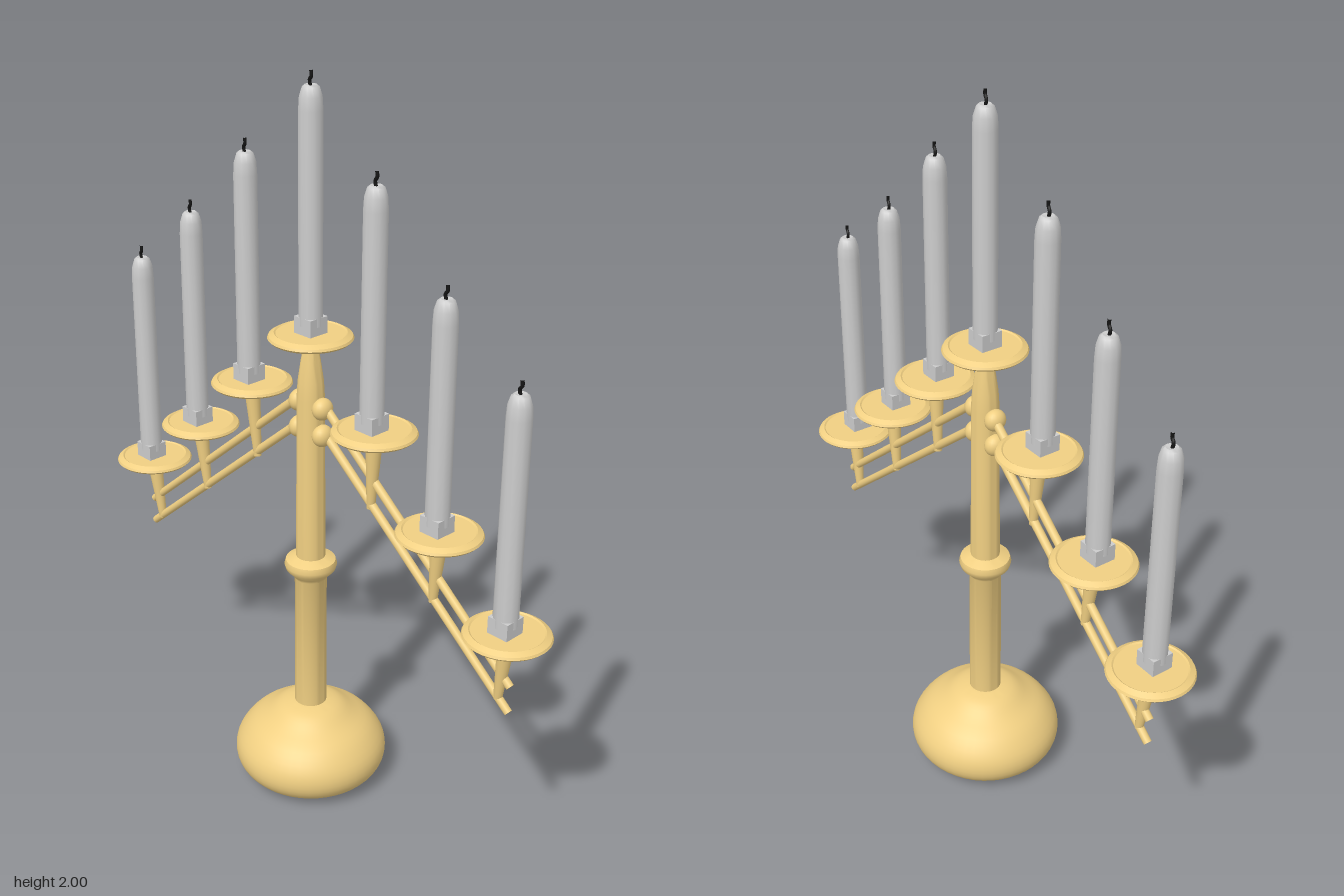
import * as THREE from 'three';
import { toCreasedNormals } from 'three/addons/utils/BufferGeometryUtils.js';

const brass = new THREE.MeshStandardMaterial({ color: 0xf0cf82 });
const wax = new THREE.MeshStandardMaterial({ color: 0xcccccc });
const char = new THREE.MeshStandardMaterial({ color: 0x151515 });

function mesh(name, geometry, material) {
  const m = new THREE.Mesh(geometry, material);
  m.name = name;
  return m;
}

// Turned part from [radius, height] pairs, bottom to top
function turned(name, points, material, sides = 40, crease = 0.6) {
  const g = new THREE.LatheGeometry(points.map(([r, y]) => new THREE.Vector2(r, y)), sides);
  return mesh(name, toCreasedNormals(g, crease), material);
}

// Tapered round bar between two points
function rod(name, a, b, ra, rb) {
  const dir = b.clone().sub(a);
  const m = mesh(name, new THREE.CylinderGeometry(rb, ra, dir.length(), 14), brass);
  m.position.copy(a).addScaledVector(dir, 0.5);
  m.quaternion.setFromUnitVectors(new THREE.Vector3(0, 1, 0), dir.normalize());
  return m;
}

// Candle with its square foot and curved wick, standing on y = 0
function candle(height) {
  const group = new THREE.Group();
  group.name = 'candle';
  const foot = mesh('candleFoot', new THREE.BoxGeometry(0.06, 0.045, 0.06), wax);
  foot.position.y = 0.02;
  const body = turned('candleBody', [
    [0, 0.02], [0.032, 0.02], [0.031, height - 0.06], [0.029, height - 0.028],
    [0.022, height - 0.006], [0.015, height], [0, height - 0.003],
  ], wax, 12, 0.7);
  const path = new THREE.CatmullRomCurve3([
    new THREE.Vector3(0, height - 0.008, 0),
    new THREE.Vector3(-0.003, height + 0.01, 0.001),
    new THREE.Vector3(0.005, height + 0.02, 0.003),
    new THREE.Vector3(0.004, height + 0.034, 0.003),
  ]);
  group.add(foot, body, mesh('wick', new THREE.TubeGeometry(path, 10, 0.0045, 6), char));
  return group;
}

// Drip dish whose upper face lies at y = 0
function dish() {
  return turned('dripDish', [
    [0, -0.05], [0.026, -0.048], [0.04, -0.043], [0.075, -0.031], [0.105, -0.02],
    [0.111, -0.014], [0.108, -0.008], [0.094, 0], [0.09, -0.003], [0, -0.003],
  ], brass, 40, 0.4);
}

function holder(name, x, y, height) {
  const group = new THREE.Group();
  group.name = name;
  const c = candle(height);
  c.position.z = x === 0 ? 0 : 0.01;
  group.add(dish(), c);
  group.position.set(x, y, 0);
  return group;
}

export function createModel() {
  const model = new THREE.Group();
  model.name = 'candelabrum';

  // Swollen foot
  const outline = new THREE.SplineCurve([
    [0.13, 0.002], [0.185, 0.025], [0.213, 0.065], [0.21, 0.115],
    [0.175, 0.165], [0.125, 0.2], [0.085, 0.228], [0.045, 0.24],
  ].map(([r, y]) => new THREE.Vector2(r, y))).getPoints(24).map((p) => [p.x, p.y]);
  model.add(turned('base', [[0, 0], ...outline, [0, 0.24]], brass, 48, 0.7));

  // Column with collar and tapering neck
  model.add(turned('column', [
    [0.045, 0.22], [0.044, 0.64], [0.05, 0.65], [0.068, 0.668], [0.072, 0.682],
    [0.068, 0.696], [0.05, 0.704], [0.04, 0.708], [0.037, 1.17], [0.034, 1.22],
    [0.026, 1.275], [0.02, 1.31],
  ], brass, 32));
  model.add(holder('centreHolder', 0, 1.352, 0.618));

  // Branches: two parallel bars carrying three holders on each side
  for (const s of [1, -1]) {
    const side = new THREE.Group();
    side.name = s > 0 ? 'leftBranch' : 'rightBranch';
    const at = (x, y, z = -0.005) => new THREE.Vector3(s * x, y, z);
    side.add(rod('upperBar', at(0.04, 1.165), at(0.7, 0.62), 0.012, 0.011));
    side.add(rod('lowerBar', at(0.04, 1.09), at(0.7, 0.545), 0.012, 0.011));
    for (const y of [1.152, 1.077]) {
      const knob = mesh('knob', new THREE.SphereGeometry(0.03, 20, 14), brass);
      knob.scale.x = 0.85;
      knob.position.set(s * 0.044, y, 0);
      side.add(knob);
    }
    const stations = [
      [0.23, 1.16, 0.218, 0.93, 0.615],
      [0.457, 0.963, 0.44, 0.75, s > 0 ? 0.595 : 0.61],
      [0.684, 0.778, 0.664, 0.57, 0.617],
    ];
    for (const [x, y, footX, footY, height] of stations) {
      side.add(holder('holder', s * x, y, height));
      side.add(rod('post', at(footX, footY), at(x, y - 0.035, 0), 0.011, 0.022));
    }
    model.add(side);
  }
  return model;
}
